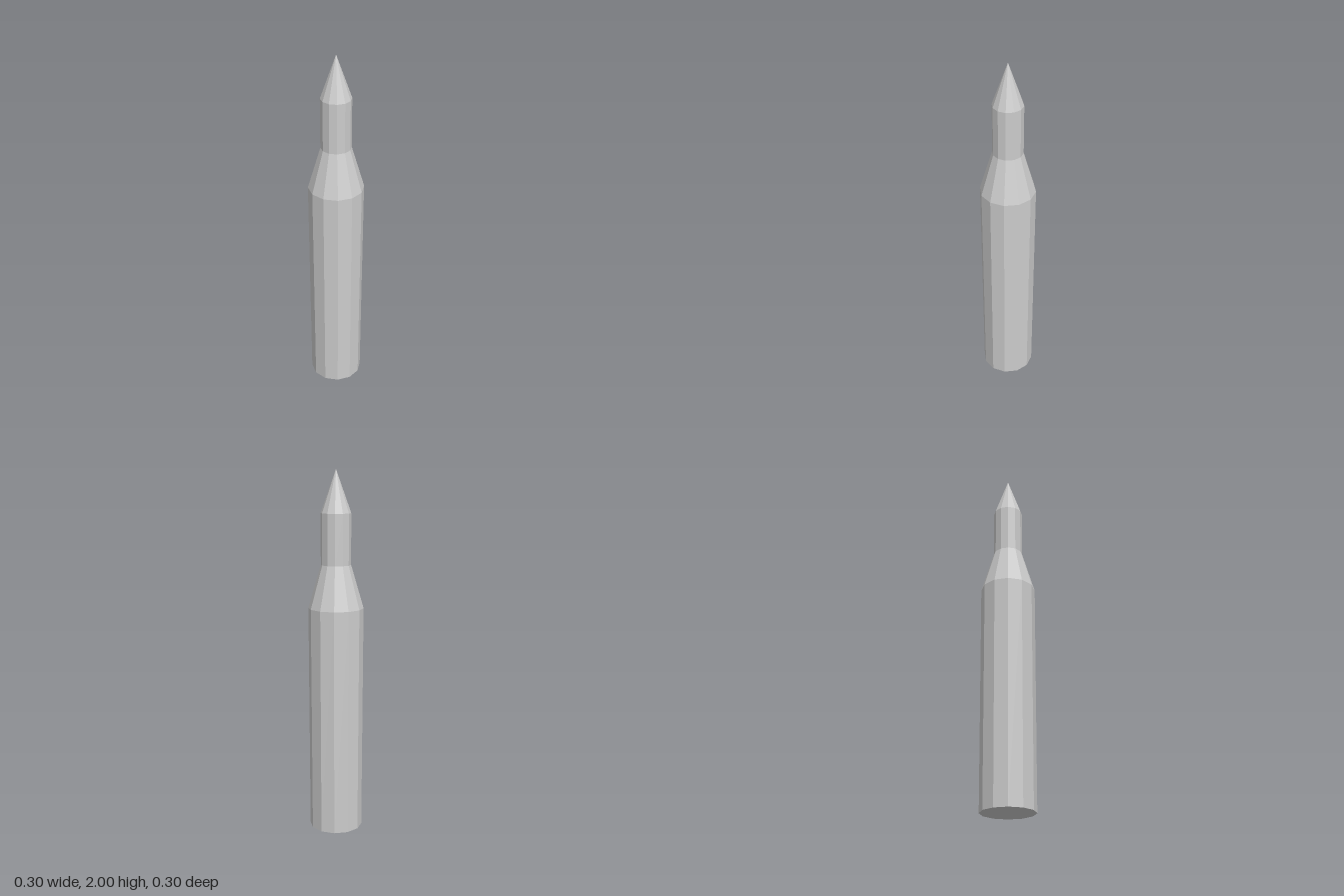
import * as THREE from 'three';

export function createModel() {
  const model = new THREE.Group();
  model.name = 'cartridge';

  const metal = new THREE.MeshStandardMaterial({ color: 0xcccccc });
  metal.name = 'grey metal';

  // Twelve-sided section between two heights; only the base is capped.
  function section(name, bottomRadius, topRadius, bottomY, topY, open = true) {
    const height = topY - bottomY;
    const geometry = new THREE.CylinderGeometry(topRadius, bottomRadius, height, 12, 1, open).toNonIndexed();
    geometry.computeVertexNormals(); // crisp facets
    const mesh = new THREE.Mesh(geometry, metal);
    mesh.name = name;
    mesh.position.y = bottomY + height / 2;
    model.add(mesh);
  }

  section('caseBody', 0.147, 0.151, 0, 1.26, false); // slightly tapered body
  section('caseShoulder', 0.151, 0.082, 1.26, 1.495);
  section('caseNeck', 0.082, 0.082, 1.495, 1.77);
  section('pointedTip', 0.082, 0, 1.77, 2);

  return model;
}
